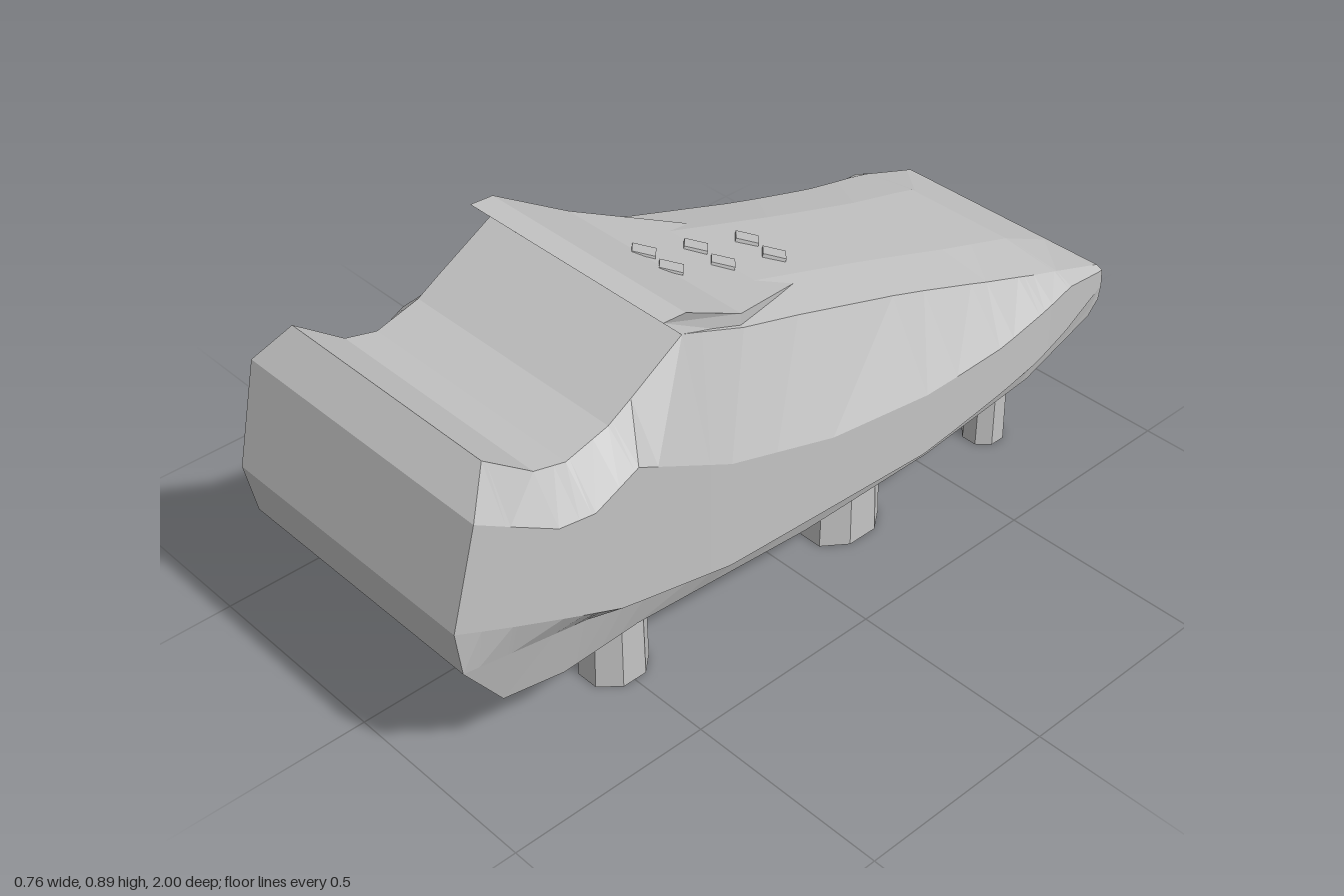
import * as THREE from 'three';

const { clamp, lerp } = THREE.MathUtils;

// Half widths of the shoe along z
const hullWidth = z => 0.382 - 0.028 * Math.max(0, z) ** 4 - 0.07 * Math.max(0, -z) ** 4;
const topWidth = z => Math.min(0.303, 0.262 + 0.12 * (z + 0.2) ** 2);

// Feature lines from heel to toe: [z, y] path and half width rule
const sole = { path: [[0.86, 0.19], [0.7, 0.16], [0.5, 0.17], [0, 0.137], [-0.4, 0.14], [-0.75, 0.18], [-0.97, 0.26]],
  width: () => 0.306 };
const soleWall = { path: [[0.98, 0.36], [0.6, 0.29], [0.3, 0.22], [0, 0.2], [-0.4, 0.19], [-0.72, 0.21], [-0.995, 0.3]],
  width: z => 0.328 + 0.017 * z };
const welt = { path: [[1, 0.48], [0.6, 0.32], [0.3, 0.26], [-0.3, 0.235], [-0.7, 0.28], [-1, 0.34]],
  width: hullWidth };
const shoulder = { path: [[0.94, 0.72], [0.75, 0.61], [0.66, 0.6], [0.55, 0.655], [0.3, 0.53], [0, 0.44], [-0.3, 0.4],
  [-0.55, 0.4], [-0.83, 0.43], [-0.995, 0.385]], width: hullWidth };
const collar = { path: [[0.87, 0.8], [0.75, 0.71], [0.67, 0.69], [0.56, 0.72], [0.36, 0.84], [0.17, 0.755], [0, 0.7],
  [-0.6, 0.515], [-0.82, 0.455], [-0.985, 0.4]], width: topWidth };

// Point on a line at z, held at the line's own ends
function pointOn({ path, width }, z) {
  const zc = clamp(z, path[path.length - 1][0], path[0][0]);
  const i = Math.max(1, path.findIndex(p => p[0] <= zc));
  const [z0, y0] = path[i - 1], [z1, y1] = path[i];
  return new THREE.Vector3(width(zc), lerp(y0, y1, (z0 - zc) / (z0 - z1)), zc);
}

// Half a cross-section, with the instep crowned between its edges
function halfSection(z) {
  const points = [sole, soleWall, welt, shoulder, collar].map(line => pointOn(line, z));
  const crown = points[4].clone();
  crown.x *= 0.5;
  crown.y += 0.022 * clamp(Math.min((0.36 - crown.z) / 0.15, (crown.z + 0.985) / 0.17), 0, 1);
  return [...points, crown];
}

function bodyGeometry() {
  const allZ = [sole, soleWall, welt, shoulder, collar].flatMap(line => line.path.map(p => p[0]));
  const stations = [...new Set(allZ)].sort((a, b) => b - a);
  const rings = stations.map(z => {
    const left = halfSection(z);
    const right = left.map(p => new THREE.Vector3(-p.x, p.y, p.z)).reverse();
    return [...left, ...right];
  });
  const pos = [];
  const tri = (a, b, c) => {
    const area = b.clone().sub(a).cross(c.clone().sub(a)).length();
    if (area > 1e-7) for (const p of [a, b, c]) pos.push(p.x, p.y, p.z);
  };
  const quad = (a, b, c, d) => { tri(a, b, c); tri(a, c, d); };
  const n = rings[0].length;
  // skin
  for (let s = 0; s < rings.length - 1; s++) {
    const A = rings[s], B = rings[s + 1];
    for (let j = 0; j < n; j++) {
      const k = (j + 1) % n;
      quad(A[j], B[j], B[k], A[k]);
    }
  }
  // heel and toe closures
  const heel = rings[0], toe = rings[rings.length - 1];
  for (let j = 0; j < n / 2 - 1; j++) {
    quad(heel[j], heel[j + 1], heel[n - 2 - j], heel[n - 1 - j]);
    quad(toe[n - 1 - j], toe[n - 2 - j], toe[j + 1], toe[j]);
  }
  const g = new THREE.BufferGeometry();
  g.setAttribute('position', new THREE.Float32BufferAttribute(pos, 3));
  g.computeVertexNormals();
  return g;
}

// Tongue: side profile swept across x, narrowing toward the toe
function tongueGeometry() {
  const profile = [[0.36, 0.838], [0.41, 0.89], [0.35, 0.887], [0.17, 0.785], [-0.1, 0.685], [-0.1, 0.66], [0.17, 0.74]];
  const shape = new THREE.Shape(profile.map(([z, y]) => new THREE.Vector2(-z, y)));
  const g = new THREE.ExtrudeGeometry(shape, { depth: 2, bevelEnabled: false });
  g.translate(0, 0, -1);
  g.rotateY(Math.PI / 2);
  const p = g.attributes.position;
  for (let i = 0; i < p.count; i++) {
    const z = p.getZ(i);
    p.setX(i, p.getX(i) * (z > 0.3 ? 0.3 : z > 0.1 ? 0.27 : 0.16));
  }
  g.computeVertexNormals();
  return g;
}

export function createModel() {
  const group = new THREE.Group();
  const grey = new THREE.MeshStandardMaterial({ color: 0xc2c2c2, flatShading: true });
  grey.name = 'light grey';
  const add = (name, geometry) => {
    const mesh = new THREE.Mesh(geometry, grey);
    mesh.name = name;
    group.add(mesh);
    return mesh;
  };

  add('shoeBody', bodyGeometry());
  add('tongue', tongueGeometry());

  for (const side of [-1, 1]) {
    // studs: z, half width, half length, height
    for (const [name, z, rx, rz, height] of [
      ['heelStud', 0.5, 0.074, 0.083, 0.18],
      ['middleStud', -0.2, 0.079, 0.106, 0.15],
      ['toeStud', -0.7, 0.053, 0.053, 0.19],
    ]) {
      const g = new THREE.CylinderGeometry(0.95, 1, height, 8);
      g.rotateY(Math.PI / 8);
      g.scale(rx, 1, rz);
      add(name, g).position.set(side * 0.225, height / 2, z);
    }
    // diamond lace holes lying on the instep
    for (const [z, y] of [[0.155, 0.781], [0.005, 0.727], [-0.15, 0.679]]) {
      const hole = add('laceHole', new THREE.CylinderGeometry(0.037, 0.037, 0.009, 4));
      hole.position.set(side * 0.043, y, z);
      hole.rotation.x = -0.33;
    }
  }
  return group;
}
